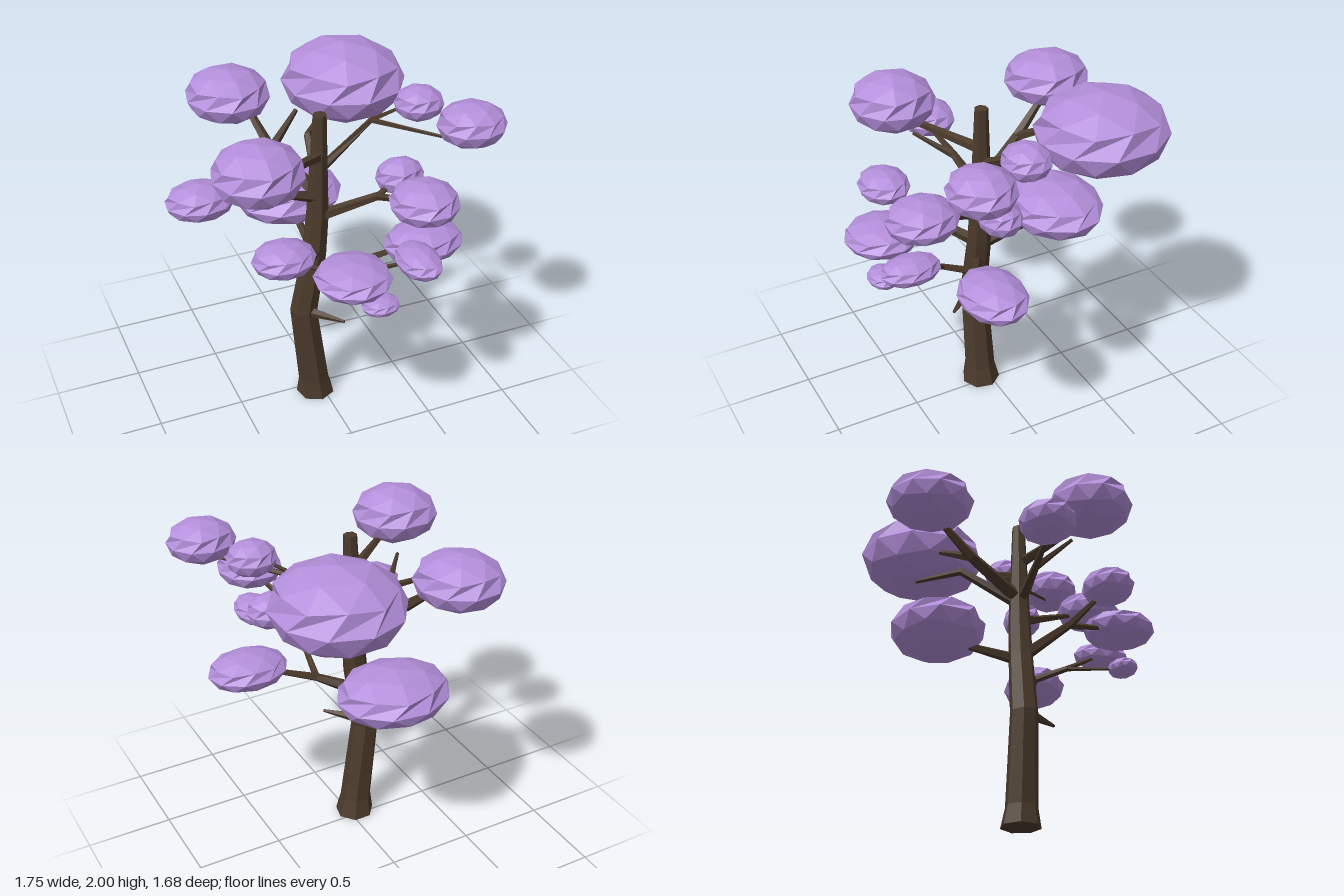
import * as THREE from 'three';

const UP = new THREE.Vector3(0, 1, 0);

// Faceted tapering limb swept through points [x, y, z, radius]
function limbGeometry(points, sides, level = false) {
  const centres = points.map(p => new THREE.Vector3(p[0], p[1], p[2]));
  const pos = [];
  const index = [];
  const last = points.length - 1;
  points.forEach((p, i) => {
    const dir = centres[Math.min(i + 1, last)].clone().sub(centres[Math.max(i - 1, 0)]).normalize();
    const q = new THREE.Quaternion().setFromUnitVectors(UP, level ? UP : dir);
    for (let s = 0; s < sides; s++) {
      const a = (s / sides) * Math.PI * 2;
      const v = new THREE.Vector3(Math.sin(a) * p[3], 0, Math.cos(a) * p[3]).applyQuaternion(q).add(centres[i]);
      pos.push(v.x, v.y, v.z);
    }
  });
  for (let i = 0; i < last; i++) {
    for (let s = 0; s < sides; s++) {
      const a = i * sides + s;
      const b = i * sides + (s + 1) % sides;
      index.push(a, b, b + sides, a, b + sides, a + sides);
    }
  }
  // end caps
  for (let s = 1; s < sides - 1; s++) {
    index.push(0, s + 1, s);
    index.push(last * sides, last * sides + s, last * sides + s + 1);
  }
  const g = new THREE.BufferGeometry();
  g.setAttribute('position', new THREE.Float32BufferAttribute(pos, 3));
  g.setIndex(index);
  const flat = g.toNonIndexed();
  flat.computeVertexNormals();
  return flat;
}

// Faceted ball whose upper half is twisted, giving slanted creases
function foliageGeometry(rx, ry, rz, turn) {
  const g = new THREE.IcosahedronGeometry(1, 1);
  g.rotateZ(-Math.atan(2 / (1 + Math.sqrt(5)))); // one corner straight up
  g.rotateY(turn);
  const p = g.attributes.position;
  const v = new THREE.Vector3();
  for (let i = 0; i < p.count; i++) {
    v.fromBufferAttribute(p, i);
    if (v.y > 0.2) v.applyAxisAngle(UP, 0.6);
    p.setXYZ(i, v.x * rx, v.y * ry, v.z * rz);
  }
  g.computeVertexNormals();
  return g;
}

// centre x, y, z, then radii x, y, z
const CLUMPS = [
  [0.345, 1.775, -0.475, 0.355, 0.225, 0.37],
  [-0.33, 1.775, -0.53, 0.24, 0.15, 0.25],
  [-0.02, 1.125, -0.42, 0.325, 0.148, 0.275],
  [-0.695, 1.495, 0.055, 0.187, 0.1, 0.157],
  [-0.475, 1.77, 0.36, 0.245, 0.162, 0.24],
  [-0.39, 1.31, 0.475, 0.173, 0.093, 0.147],
  [-0.07, 1.21, 0.63, 0.208, 0.092, 0.21],
  [0.35, 1.535, 0.575, 0.187, 0.112, 0.195],
  [0.305, 1.215, 0.63, 0.118, 0.076, 0.17],
  [0.065, 1.037, 0.69, 0.107, 0.052, 0.087],
  [0.525, 1.065, 0.265, 0.237, 0.106, 0.182],
  [0.69, 1.84, 0.415, 0.19, 0.12, 0.178],
  [0.545, 1.84, 0.09, 0.138, 0.097, 0.132],
  [0.41, 1.46, 0.165, 0.142, 0.103, 0.116],
];

// x, y, z, radius along each branch
const BRANCHES = {
  stub: [[-0.11, 0.63, 0.08, 0.034], [0.05, 0.632, 0.265, 0.009]],
  lowLeft: [[-0.05, 0.87, 0.06, 0.04], [0.14, 0.945, 0.17, 0.024], [0.45, 1.05, 0.25, 0.013]],
  lowLeftFork: [[0.14, 0.945, 0.17, 0.022], [0.11, 1.02, 0.36, 0.018], [0.28, 1.2, 0.6, 0.009]],
  lowLeftTwig: [[0.11, 1.02, 0.36, 0.014], [0.07, 1.032, 0.66, 0.007]],
  lowRight: [[-0.04, 1.0, 0.06, 0.038], [-0.24, 1.14, 0.3, 0.023], [-0.38, 1.28, 0.45, 0.012]],
  lowRightFork: [[-0.23, 1.13, 0.29, 0.021], [-0.12, 1.19, 0.56, 0.012]],
  lowBack: [[-0.04, 0.98, 0.05, 0.036], [-0.03, 1.06, -0.34, 0.016]],
  middleLeft: [[-0.03, 1.23, 0.05, 0.036], [0.25, 1.4, 0.23, 0.024], [0.33, 1.5, 0.5, 0.013]],
  middleLeftFork: [[0.25, 1.4, 0.23, 0.02], [0.38, 1.45, 0.18, 0.012]],
  middleRight: [[-0.02, 1.36, 0.06, 0.034], [-0.29, 1.46, 0.09, 0.022], [-0.62, 1.47, 0.08, 0.011]],
  middleRightSpur: [[-0.28, 1.455, 0.09, 0.022], [-0.44, 1.56, 0.26, 0.01]],
  upperBackRight: [[-0.03, 1.38, 0.04, 0.042], [-0.18, 1.53, -0.26, 0.032], [-0.24, 1.7, -0.45, 0.02]],
  upperBackSpur: [[-0.18, 1.53, -0.26, 0.03], [0.03, 1.66, -0.41, 0.014]],
  upperBackLeft: [[-0.01, 1.36, 0.04, 0.036], [0.05, 1.56, -0.28, 0.024], [0.25, 1.57, -0.52, 0.012]],
  upperRight: [[-0.02, 1.62, 0.06, 0.032], [-0.42, 1.7, 0.34, 0.016]],
  upperLeft: [[-0.01, 1.53, 0.05, 0.028], [0.32, 1.72, -0.03, 0.018], [0.62, 1.74, 0.37, 0.008]],
  upperLeftFork: [[0.32, 1.72, -0.03, 0.014], [0.48, 1.82, 0.06, 0.008]],
};

const TRUNK = [
  [-0.042, 0, 0.05, 0.114], [-0.052, 0.11, 0.053, 0.092], [-0.115, 0.63, 0.055, 0.08],
  [-0.05, 1.0, 0.052, 0.071], [-0.028, 1.25, 0.05, 0.064], [-0.015, 1.86, 0.05, 0.038],
];

export function createModel() {
  const tree = new THREE.Group();
  tree.name = 'tree';
  const bark = new THREE.MeshStandardMaterial({ color: 0x4b3a2b });
  bark.name = 'dark brown bark';
  const leaf = new THREE.MeshStandardMaterial({ color: 0xb48fdb });
  leaf.name = 'lilac foliage';

  const add = (parent, name, geometry, material) => {
    const mesh = new THREE.Mesh(geometry, material);
    mesh.name = name;
    parent.add(mesh);
    return mesh;
  };

  // trunk
  add(tree, 'trunk', limbGeometry(TRUNK, 7, true), bark);

  // branches
  const branches = new THREE.Group();
  branches.name = 'branches';
  tree.add(branches);
  for (const [name, points] of Object.entries(BRANCHES)) {
    add(branches, name + 'Branch', limbGeometry(points, 5), bark);
  }

  // foliage clumps
  const foliage = new THREE.Group();
  foliage.name = 'foliage';
  tree.add(foliage);
  CLUMPS.forEach(([x, y, z, rx, ry, rz], i) => {
    add(foliage, 'foliageClump' + (i + 1), foliageGeometry(rx, ry, rz, i * 0.4), leaf).position.set(x, y, z);
  });
  return tree;
}
